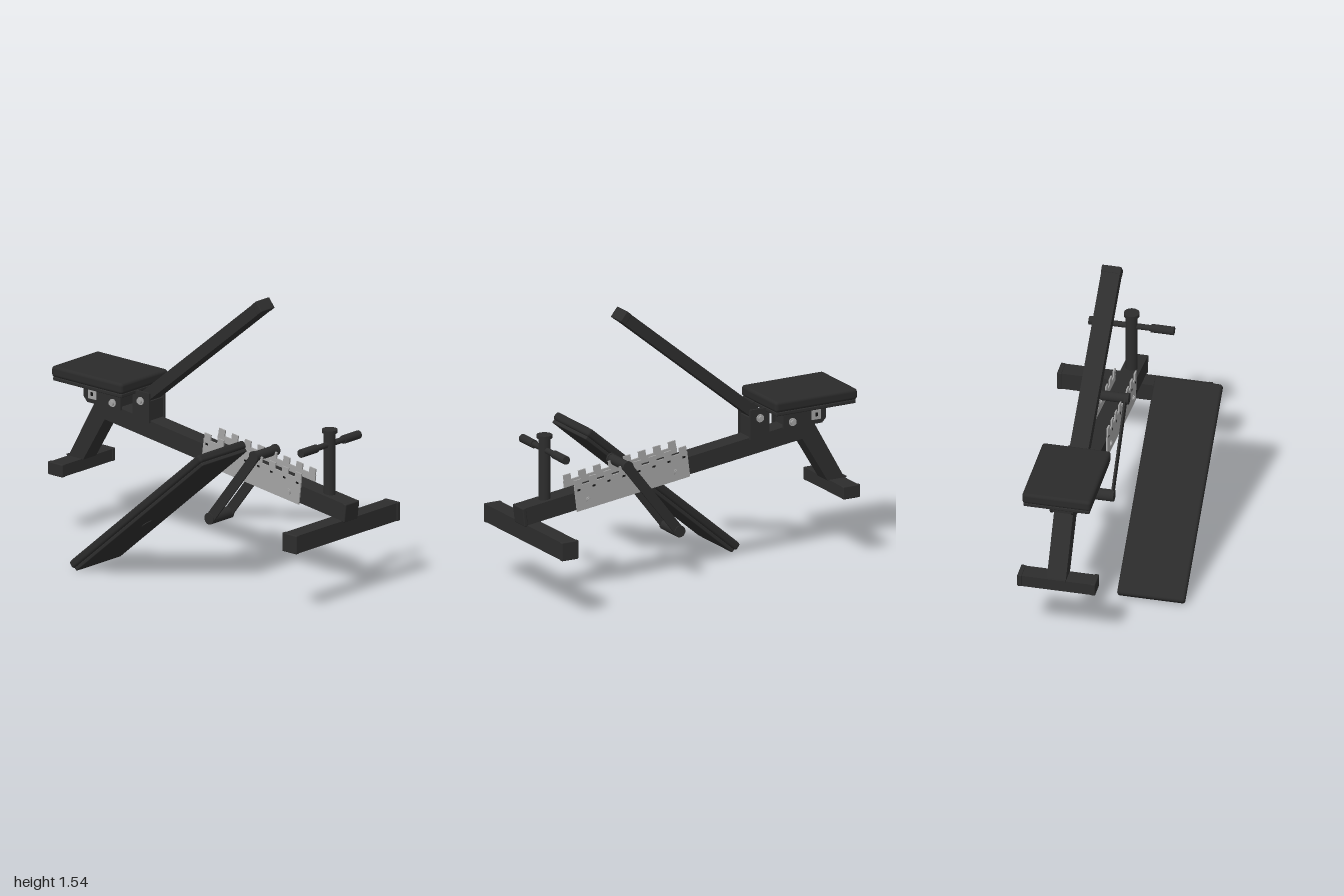
import * as THREE from 'three';
import { RoundedBoxGeometry } from 'three/addons/geometries/RoundedBoxGeometry.js';

const ZC = -0.085; // centre line of the frame

export function createModel() {
  const root = new THREE.Group();
  root.name = 'adjustableBench';
  const mat = (name, color) => {
    const m = new THREE.MeshStandardMaterial({ color });
    m.name = name;
    return m;
  };
  const black = mat('blackFrame', 0x2d2d2d);
  const vinyl = mat('blackVinyl', 0x2a2a2a);
  const steel = mat('greySteel', 0xa4a4a4);
  const dark = mat('darkSlot', 0x151515);

  const add = (name, geo, m, x = 0, y = 0, z = 0, rz = 0, parent = root) => {
    const mesh = new THREE.Mesh(geo, m);
    mesh.name = name;
    mesh.position.set(x, y, z);
    mesh.rotation.z = rz;
    parent.add(mesh);
    return mesh;
  };
  const box = (w, h, d) => new THREE.BoxGeometry(w, h, d);
  const rbox = (w, h, d, r) => new RoundedBoxGeometry(w, h, d, 3, r);
  // side outline extruded across z, centred on z = 0
  const prism = (pts, depth) => {
    const s = new THREE.Shape(pts.map(p => new THREE.Vector2(p[0], p[1])));
    return new THREE.ExtrudeGeometry(s, { depth, bevelEnabled: false }).translate(0, 0, -depth / 2);
  };
  // cylinder lying along z
  const rod = (r, len, seg = 24) => new THREE.CylinderGeometry(r, r, len, seg).rotateX(Math.PI / 2);
  // washer, hex head and stud on both sides of the frame
  const bolts = (x, y, half) => {
    for (const s of [-1, 1]) {
      add('washer', rod(0.022, 0.006), steel, x, y, ZC + s * (half + 0.003));
      add('boltHead', rod(0.016, 0.014, 6), steel, x, y, ZC + s * (half + 0.011));
    }
  };

  // main beam, sloping down toward +x, with end cap
  add('mainBeam', prism([[-0.746, 0.684], [0.965, 0.463], [0.978, 0.56], [-0.69, 0.775]], 0.104), black, 0, 0, ZC);
  add('beamEndCap', rbox(0.022, 0.104, 0.11, 0.006), black, 0.98, 0.509, ZC, -0.128);

  // rear leg and foot
  add('rearLeg', prism([[-0.985, 0.425], [-0.88, 0.425], [-0.69, 0.74], [-0.70, 0.765], [-0.80, 0.755]], 0.104), black, 0, 0, ZC);
  add('rearLegPlate', box(0.115, 0.008, 0.104), black, -0.939, 0.43, ZC);
  add('rearFoot', box(0.098, 0.066, 0.39), black, -0.937, 0.394, ZC);
  // front foot
  add('frontFoot', box(0.096, 0.098, 0.80), black, 0.914, 0.41, ZC);
  for (const s of [-1, 1]) {
    add('rearFootCap', rbox(0.106, 0.072, 0.026, 0.006), black, -0.937, 0.395, ZC + s * 0.2);
    add('frontFootCap', rbox(0.104, 0.104, 0.026, 0.006), black, 0.914, 0.41, ZC + s * 0.403);
  }

  // handle post with cap and cross handle
  add('handlePost', new THREE.CylinderGeometry(0.032, 0.032, 0.37, 32), black, 0.832, 0.735, ZC);
  add('postCap', new THREE.CylinderGeometry(0.042, 0.042, 0.018, 32), black, 0.832, 0.926, ZC);
  add('handleBar', rod(0.016, 0.45), black, 0.832, 0.852, ZC);
  for (const s of [-1, 1]) add('handleGrip', rod(0.023, 0.125), black, 0.832, 0.852, ZC + s * 0.17);

  // seat cushion, base board and bracket
  add('seatCushion', rbox(0.505, 0.062, 0.375, 0.018), vinyl, -0.737, 0.926, ZC);
  add('seatBase', rbox(0.49, 0.022, 0.36, 0.006), black, -0.737, 0.886, ZC);
  add('seatTube', box(0.23, 0.10, 0.104), black, -0.735, 0.82, ZC);
  for (const s of [-1, 1]) {
    add('seatBracket', prism([[-0.865, 0.785], [-0.84, 0.758], [-0.603, 0.758], [-0.603, 0.878], [-0.865, 0.878]], 0.012),
      black, 0, 0, ZC + s * 0.058);
    add('bracketInsert', box(0.056, 0.056, 0.006), steel, -0.803, 0.81, ZC + s * 0.065);
    add('insertSlot', box(0.014, 0.02, 0.004), dark, -0.803, 0.81, ZC + s * 0.068);
    // hinge bracket of the back post
    add('hingeBracket', box(0.118, 0.165, 0.012), black, -0.456, 0.812, ZC + s * 0.06);
  }
  add('hingeBlock', box(0.10, 0.12, 0.108), black, -0.456, 0.785, ZC);
  bolts(-0.657, 0.79, 0.064);
  bolts(-0.456, 0.843, 0.066);

  // raised back post
  const back = new THREE.Group();
  back.name = 'backPost';
  back.position.set(-0.44, 0.868, ZC);
  back.rotation.z = 0.687;
  root.add(back);
  add('backTube', box(1.03, 0.062, 0.102), black, 0.515, 0, 0, 0, back);
  add('backTubeCap', rbox(0.04, 0.066, 0.107, 0.005), black, 1.033, 0, 0, 0, back);

  // toothed adjustment plates on both sides of the beam
  const outline = [[0, 0], [0.70, 0], [0.70, 0.143]];
  const toothX = i => 0.025 + i * 0.0929;
  for (let i = 7; i >= 0; i--) {
    const x = toothX(i);
    outline.push([x + 0.022, 0.143], [x + 0.022, 0.176], [x - 0.022, 0.176], [x - 0.022, 0.143]);
  }
  outline.push([0, 0.143]);
  const ladder = new THREE.Group();
  ladder.name = 'adjustmentLadder';
  ladder.position.set(-0.03, 0.583, ZC);
  ladder.rotation.z = -0.128;
  root.add(ladder);
  for (const s of [-1, 1]) {
    add('toothedPlate', prism(outline, 0.008), steel, 0, 0, s * 0.057, 0, ladder);
    for (let i = 0; i < 8; i++)
      add('plateSlot', box(0.018, 0.01, 0.004), dark, toothX(i), 0.118, s * 0.0605, 0, ladder);
    for (const x of [0.08, 0.624]) {
      add('plateWasher', rod(0.016, 0.005), steel, x, 0.05, s * 0.063, 0, ladder);
      add('plateBolt', rod(0.011, 0.01, 6), steel, x, 0.05, s * 0.066, 0, ladder);
    }
  }

  // support strut: two flat bars, a rest bar and a lower roller
  const lo = new THREE.Vector2(0.045, 0.293), hi = new THREE.Vector2(0.368, 0.705);
  const d = hi.clone().sub(lo);
  for (const s of [-1, 1]) {
    add('strutBar', box(d.length(), 0.055, 0.01), black, (lo.x + hi.x) / 2, (lo.y + hi.y) / 2, ZC + s * 0.073, d.angle());
    add('restCap', rod(0.031, 0.014), black, hi.x, hi.y, ZC + s * 0.085);
  }
  add('restBar', rod(0.027, 0.17), black, hi.x, hi.y, ZC);
  add('lowerRoller', rod(0.032, 0.168), black, lo.x, lo.y, ZC);

  // detached backrest pad leaning beside the frame
  const pad = new THREE.Group();
  pad.name = 'backrest';
  pad.position.set(-0.025, 0.424, 0.32);
  pad.rotation.z = 0.707;
  root.add(pad);
  add('backCushion', rbox(1.215, 0.046, 0.37, 0.016), vinyl, 0, 0.01, 0, 0, pad);
  add('backBoard', rbox(1.19, 0.02, 0.355, 0.005), black, 0, -0.022, 0, 0, pad);
  add('boardPlug', new THREE.CylinderGeometry(0.033, 0.033, 0.006, 8), black, -0.14, -0.033, 0, 0, pad);

  return root;
}
